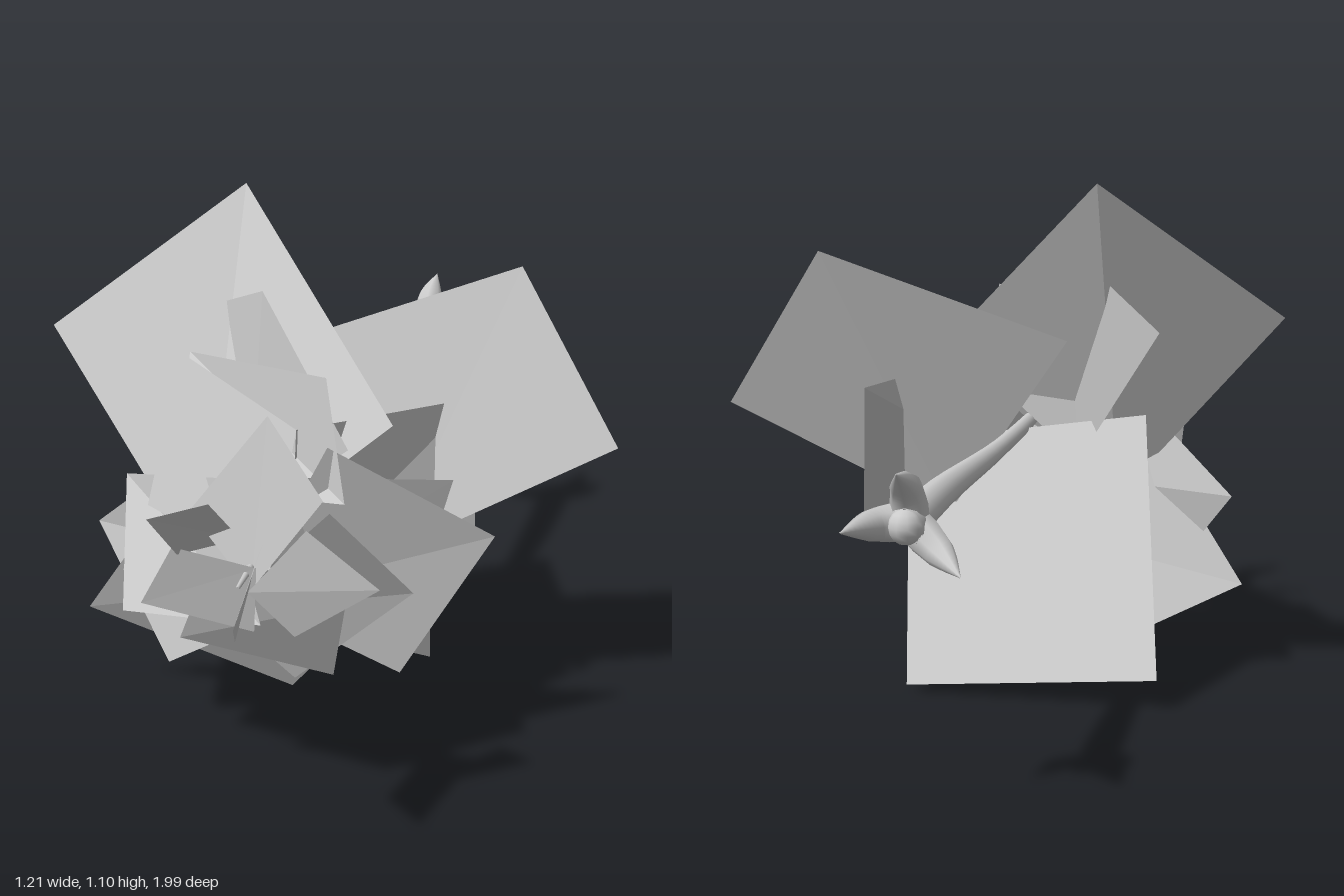
import * as THREE from 'three';

const solid = new THREE.MeshStandardMaterial({ color: 0xcccccc });
const thin = new THREE.MeshStandardMaterial({ color: 0xcccccc, side: THREE.DoubleSide, flatShading: true });
const V = (p) => new THREE.Vector3(...p);

// Tube along a curve whose radius follows a list of values
function taperedTube(name, points, radii, sides = 10) {
  const curve = new THREE.CatmullRomCurve3(points.map(V));
  const steps = 16;
  const geo = new THREE.TubeGeometry(curve, steps, 1, sides, false);
  const pos = geo.attributes.position, v = new THREE.Vector3();
  for (let i = 0; i <= steps; i++) {
    const c = curve.getPointAt(i / steps);
    const t = (i / steps) * (radii.length - 1), k = Math.min(Math.floor(t), radii.length - 2);
    const r = THREE.MathUtils.lerp(radii[k], radii[k + 1], t - k);
    for (let j = 0; j <= sides; j++) {
      const n = i * (sides + 1) + j;
      v.fromBufferAttribute(pos, n).sub(c).multiplyScalar(r).add(c);
      pos.setXYZ(n, v.x, v.y, v.z);
    }
  }
  const mesh = new THREE.Mesh(geo, solid);
  mesh.name = name;
  return mesh;
}

// Slightly twisted leaf card: two outer corners a, b, then base corners c, d either side of the stem
function leaf(name, a, b, c, d) {
  const geo = new THREE.BufferGeometry();
  geo.setAttribute('position', new THREE.Float32BufferAttribute([...a, ...b, ...c, ...d], 3));
  geo.setIndex([0, 1, 2, 0, 2, 3]);
  geo.computeVertexNormals();
  const mesh = new THREE.Mesh(geo, thin);
  mesh.name = name;
  return mesh;
}

export function createModel() {
  const model = new THREE.Group();

  // Stem lying along z, thick at the root end
  model.add(taperedTube('stem',
    [[0, 0.55, -0.93], [0, 0.55, -0.6], [-0.015, 0.54, -0.1], [-0.02, 0.54, 0.35], [0, 0.54, 0.8]],
    [0.036, 0.032, 0.025, 0.019, 0.017, 0.013, 0.004]));

  // Three root prongs and the blunt stem end
  const roots = new THREE.Group();
  roots.name = 'roots';
  for (const [x, y, z] of [[-0.11, 0.47, -0.96], [0.105, 0.55, -0.99], [0, 0.66, -0.99]]) {
    roots.add(taperedTube('rootProng',
      [[0, 0.55, -0.87], [x * 0.55, 0.55 + (y - 0.55) * 0.6, -0.905], [x, y, z]],
      [0.036, 0.036, 0.03, 0.016, 0.001], 8));
  }
  const end = new THREE.Mesh(new THREE.SphereGeometry(0.034, 10, 8), solid);
  end.name = 'rootEnd';
  end.position.set(0, 0.55, -0.915);
  roots.add(end);
  model.add(roots);

  // Large leaves at the back of the crown
  const backLeaves = new THREE.Group();
  backLeaves.name = 'backLeaves';
  backLeaves.add(
    leaf('upperRightLeaf', [-0.22, 1.105, -0.05], [-0.605, 0.81, 0.115], [-0.22, 0.365, 0.32], [0.18, 0.705, 0.285]),
    leaf('upperLeftLeaf', [0.375, 0.955, -0.075], [0.605, 0.605, 0.03], [0.13, 0.357, 0.115], [-0.15, 0.763, 0.005]),
    leaf('bottomLeaf', [-0.37, 0.07, -0.16], [0.18, 0.02, -0.11], [0.24, 0.5, 0.2], [-0.3, 0.58, 0.17]),
    leaf('lowerRightLeaf', [-0.515, 0.2, 0.2], [-0.09, 0.005, 0.08], [0.2, 0.36, 0.22], [-0.23, 0.61, 0.32]),
    leaf('rightLeaf', [-0.49, 0.4, 0.19], [-0.3, 0.14, 0.31], [0.13, 0.41, 0.42], [-0.15, 0.7, 0.37]),
    leaf('leftLeaf', [0.28, 0.66, -0.06], [0.305, 0.34, 0.03], [-0.01, 0.38, 0.39], [0, 0.71, 0.37]),
    leaf('topSideLeaf', [-0.11, 0.95, 0.22], [-0.36, 0.8, -0.095], [-0.14, 0.46, 0.24], [0.09, 0.65, 0.3]),
    leaf('lowerLeftLeaf', [0.39, 0.475, 0.26], [0.215, 0.195, 0.36], [-0.08, 0.38, 0.48], [0.08, 0.7, 0.43]));
  model.add(backLeaves);

  // Middle leaves
  const middleLeaves = new THREE.Group();
  middleLeaves.name = 'middleLeaves';
  middleLeaves.add(
    leaf('topLeaf', [-0.28, 0.795, 0.18], [0.07, 0.835, 0.4], [0.12, 0.59, 0.45], [-0.25, 0.575, 0.4]),
    leaf('upperFrontLeaf', [-0.22, 0.875, 0.43], [0.03, 0.75, 0.48], [0.01, 0.5, 0.61], [-0.25, 0.6, 0.57]),
    leaf('innerLeftLeaf', [0.28, 0.55, 0.155], [0.22, 0.31, 0.25], [-0.02, 0.42, 0.51], [0, 0.64, 0.46]),
    leaf('innerRightLeaf', [-0.37, 0.575, 0.345], [-0.33, 0.34, 0.51], [0.01, 0.415, 0.68], [-0.1, 0.67, 0.57]),
    leaf('innerLowerLeaf', [0.25, 0.39, 0.395], [0.035, 0.235, 0.52], [-0.1, 0.4, 0.6], [0.11, 0.6, 0.53]));
  model.add(middleLeaves);

  // Small leaves closing around the tip
  const frontLeaves = new THREE.Group();
  frontLeaves.name = 'frontLeaves';
  frontLeaves.add(
    leaf('frontTopLeaf', [0, 0.81, 0.58], [0.12, 0.66, 0.62], [0, 0.5, 0.71], [-0.13, 0.64, 0.68]),
    leaf('frontBottomLeaf', [-0.18, 0.335, 0.6], [0.12, 0.26, 0.54], [0.17, 0.46, 0.64], [-0.1, 0.52, 0.66]),
    leaf('frontLowerRightLeaf', [-0.25, 0.415, 0.63], [0, 0.405, 0.69], [0.02, 0.56, 0.74], [-0.16, 0.57, 0.7]),
    leaf('frontLeftLeaf', [0.24, 0.5, 0.65], [0.1, 0.435, 0.76], [0.02, 0.535, 0.8], [0.105, 0.625, 0.69]),
    leaf('frontRightLeaf', [-0.175, 0.665, 0.805], [-0.07, 0.685, 0.75], [-0.04, 0.575, 0.64], [-0.15, 0.555, 0.7]),
    leaf('tipLeaf', [0.05, 0.545, 1], [0.05, 0.64, 0.785], [0, 0.55, 0.66], [0.01, 0.455, 0.855]));
  model.add(frontLeaves);

  return model;
}
